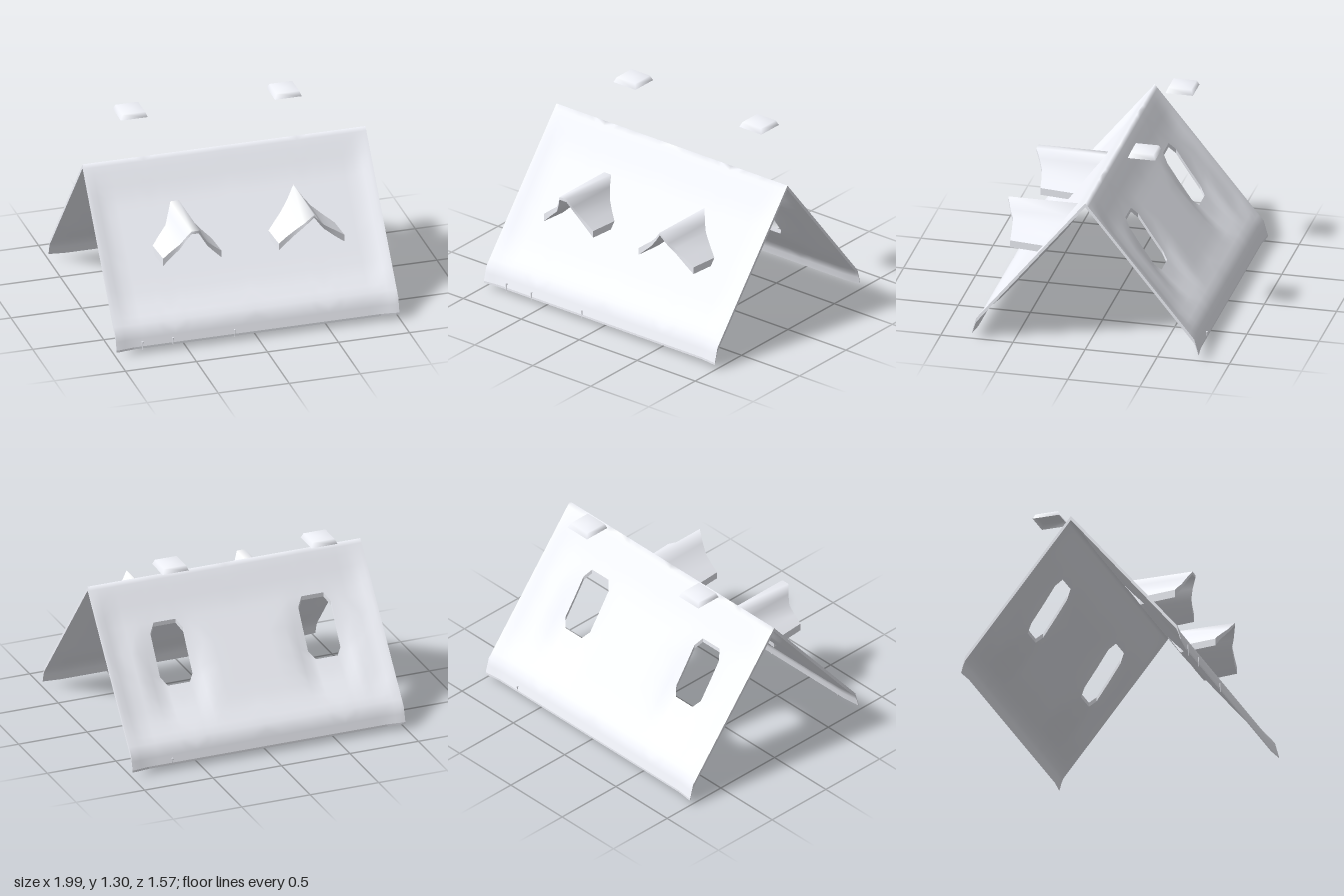
import * as THREE from 'three';

const material = new THREE.MeshStandardMaterial({ color: 0xf3f5fc, side: THREE.DoubleSide });
const RIDGE = 1.08, SLOPE = 1.229, THICK = 0.03, SAG = 0.04;
const HOLE_X = [-0.57, 0.51], HOLE_Z = -0.305; // skylight centres on the back slope

function add(parent, name, geometry) {
  const mesh = new THREE.Mesh(geometry, material);
  mesh.name = name;
  parent.add(mesh);
  return mesh;
}

const nearestHole = (x) => (x < 0 ? HOLE_X[0] : HOLE_X[1]);
const ramp = THREE.MathUtils.smoothstep;

// Skylight: a rectangle with cut corners
function inOpening(x, z) {
  const dx = Math.abs(x - nearestHole(x)), dz = Math.abs(z - HOLE_Z);
  return dx < 0.12 && dz < 0.125 && dx + dz < 0.205;
}

// Top of the roof: straight slopes bent at the eaves, sagging inside the rim
function roofPoint(x, z) {
  const s = Math.abs(z);
  let y = RIDGE - SLOPE * s;
  if (s > 0.755) y -= 2.4 * (s - 0.755) * (s > 0.765 ? 1 : 0.5);
  const inside = 1 - ramp(Math.abs(x), 0.87, 0.99);
  y -= SAG * inside * ramp(s, 0, 0.17) * (1 - ramp(s, 0.58, 0.76));
  if (z < 0) { // deeper dent towards the foot of each skylight
    const aside = Math.abs(x - nearestHole(x));
    y -= 0.055 * (1 - ramp(aside, 0.12, 0.25)) * ramp(s, 0.15, 0.41) * (1 - ramp(s, 0.43, 0.66));
  }
  const pull = 0.013 * inside * ramp(s, 0.68, 0.76);
  return [x, y, z - Math.sign(z) * pull];
}

// Both slopes as one bent sheet with openings, underside and edge walls
function roofSheet() {
  const xs = [-0.996, -0.97, -0.93, -0.87, -0.8, -0.745, -0.39, -0.32, -0.2, -0.1, 0, 0.1, 0.2, 0.28,
    0.335, 0.69, 0.75, 0.8, 0.87, 0.93, 0.97, 0.996];
  for (const c of HOLE_X) for (const d of [-0.12, -0.08, 0, 0.08, 0.12]) xs.push(c + d);
  xs.sort((a, b) => a - b);
  const half = [0.02, 0.05, 0.1, 0.14, 0.18, 0.22, 0.3, 0.39, 0.43, 0.5, 0.56, 0.62, 0.68, 0.72,
    0.755, 0.768, 0.783];
  const zs = [...half.map((z) => -z).reverse(), 0, ...half];

  const top = [], bottom = [];
  for (const x of xs) {
    for (const z of zs) {
      const [px, py, pz] = roofPoint(x, z);
      const thick = Math.abs(z) > 0.76 ? 0.015 : THICK;
      top.push(px, py, pz);
      bottom.push(px, py - thick, pz);
    }
  }

  const faces = [];
  for (let i = 0; i + 1 < xs.length; i++) {
    for (let j = 0; j + 1 < zs.length; j++) {
      const a = i * zs.length + j, b = a + 1, c = a + zs.length, d = c + 1;
      const mx = (xs[i] + xs[i + 1]) / 2, mz = (zs[j] + zs[j + 1]) / 2;
      const cut = (mx - nearestHole(mx)) * (mz - HOLE_Z) > 0;
      faces.push(...(cut ? [[a, b, c], [c, b, d]] : [[a, b, d], [a, d, c]]));
    }
  }
  const mean = (list, pick) => list.reduce((sum, k) => sum + pick(k), 0) / 3;
  const kept = faces.filter((f) => !inOpening(
    mean(f, (k) => xs[Math.floor(k / zs.length)]), mean(f, (k) => zs[k % zs.length])));

  // Edges used by one face only get a wall
  const edges = new Set();
  for (const [a, b, c] of kept) for (const e of [[a, b], [b, c], [c, a]]) edges.add(e.join());
  const pos = [...top, ...bottom], index = [], under = top.length / 3;
  for (const [a, b, c] of kept) index.push(a, b, c, under + a, under + c, under + b);
  for (const e of edges) {
    const [a, b] = e.split(',').map(Number);
    if (edges.has([b, a].join())) continue;
    const n = pos.length / 3;
    for (const list of [top, bottom]) {
      for (const k of [a, b]) pos.push(...list.slice(3 * k, 3 * k + 3));
    }
    index.push(n + 1, n, n + 2, n + 1, n + 2, n + 3);
  }
  const g = new THREE.BufferGeometry();
  g.setAttribute('position', new THREE.Float32BufferAttribute(pos, 3));
  g.setIndex(index);
  g.computeVertexNormals();
  return g;
}

// Dormer roof through columns of [x, top y, front z, thickness]; its back ends inside the slope
function dormerRoof(columns) {
  const n = columns.length - 1;
  const g = new THREE.BoxGeometry(1, 1, 1, n, 1, 1);
  const p = g.attributes.position;
  for (let i = 0; i < p.count; i++) {
    const [x, top, front, thick] = columns[Math.round((p.getX(i) + 0.5) * n)];
    const atBack = p.getZ(i) < 0;
    const backTop = top - 0.5 * (thick - 0.02);
    const y = (atBack ? backTop : top) - (p.getY(i) < 0 ? thick : 0);
    p.setXYZ(i, x, y, atBack ? (RIDGE - SAG - 0.01 - backTop) / SLOPE : front);
  }
  g.computeVertexNormals();
  return g;
}

export function createModel() {
  const model = new THREE.Group();
  model.name = 'gableRoof';
  add(model, 'roofSheet', roofSheet());

  // Dormer roofs on the front slope
  add(model, 'rightDormer', dormerRoof([
    [-0.615, 0.605, 0.61, 0.055], [-0.56, 0.65, 0.61, 0.045], [-0.5, 0.695, 0.615, 0.035],
    [-0.465, 0.755, 0.64, 0.025], [-0.435, 0.81, 0.67, 0.02], [-0.375, 0.81, 0.67, 0.02],
    [-0.345, 0.75, 0.64, 0.025], [-0.305, 0.69, 0.615, 0.03], [-0.25, 0.64, 0.605, 0.04],
    [-0.2, 0.6, 0.6, 0.05],
  ]));
  add(model, 'leftDormer', dormerRoof([
    [0.2, 0.6, 0.61, 0.05], [0.25, 0.64, 0.61, 0.045], [0.31, 0.685, 0.615, 0.035],
    [0.37, 0.74, 0.64, 0.025], [0.43, 0.81, 0.67, 0.02], [0.485, 0.735, 0.64, 0.025],
    [0.52, 0.695, 0.615, 0.03], [0.6, 0.64, 0.605, 0.045], [0.665, 0.595, 0.6, 0.05],
  ]));

  // Hollow chimney caps floating above the openings
  const capProfile = [[0.134, -0.0175], [0.113, 0.0175], [0, 0.0175]]
    .map(([r, y]) => new THREE.Vector2(r, y));
  for (const x of [-0.57, 0.515]) {
    const cap = add(model, 'chimneyCap', new THREE.LatheGeometry(capProfile, 4, Math.PI / 4));
    cap.position.set(x, 1.283, -0.295);
  }

  // Small icicle spikes under the eaves: [x, z, tip y]
  for (const [x, z, tip] of [
    [-0.81, 0.772, 0], [-0.595, 0.772, 0.015], [-0.16, 0.772, 0.02], [0.7, -0.772, 0.04],
  ]) {
    const height = 0.085 - tip;
    const spike = add(model, 'eaveSpike', new THREE.ConeGeometry(0.007, height, 5));
    spike.rotation.x = Math.PI;
    spike.position.set(x, tip + height / 2, z);
  }
  return model;
}
